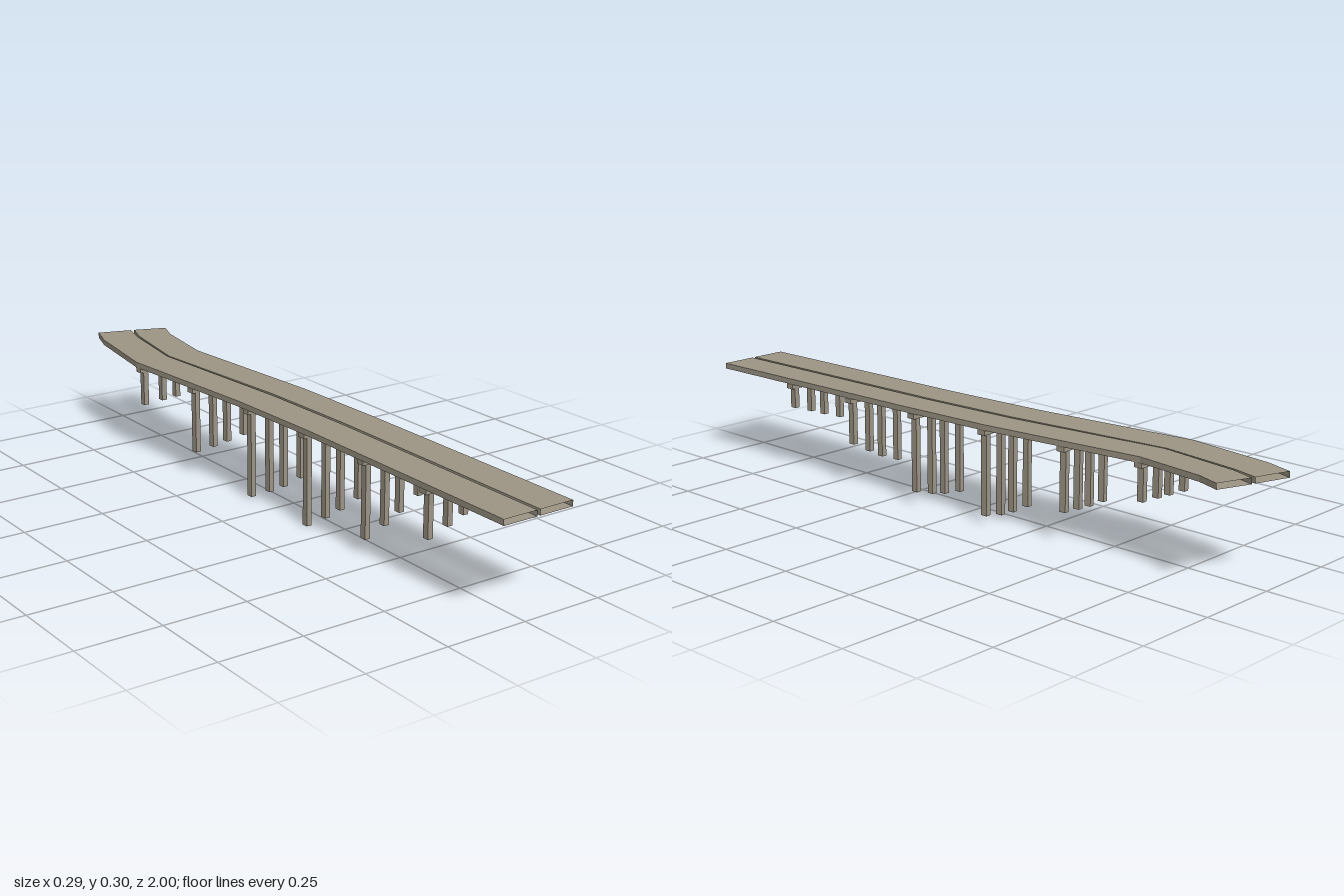
import * as THREE from 'three';

const concrete = new THREE.MeshStandardMaterial({ color: 0x9d9585, side: THREE.DoubleSide });
concrete.name = 'concrete';

const THICK = 0.017;
const deckTop = (z) => 0.2975 - 0.0045 * z;

// Cross-sections of each deck in plan: [left x, left z, right x, right z]
const LEFT_DECK = [
  [-0.085, 1, 0.024, 1], [-0.09, 0.2, 0.02, 0.2], [-0.103, -0.13, 0.009, -0.12],
  [-0.148, -0.64, -0.035, -0.64], [-0.108, -0.915, 0.001, -0.89], [-0.08, -1, 0.022, -0.966],
];
const RIGHT_DECK = [
  [0.034, 1, 0.143, 1], [0.03, 0.2, 0.134, 0.2], [0.018, -0.13, 0.124, -0.12],
  [-0.03, -0.64, 0.077, -0.64], [0.009, -0.89, 0.106, -0.855], [0.033, -0.963, 0.131, -0.926],
];

// Open-ended rectangular tube swept through the cross-sections
function makeDeck(name, sections) {
  const pos = [];
  const rings = sections.map(([lx, lz, rx, rz]) => {
    const lt = deckTop(lz), rt = deckTop(rz);
    return [[lx, lt, lz], [rx, rt, rz], [rx, rt - THICK, rz], [lx, lt - THICK, lz]];
  });
  for (let i = 0; i < rings.length - 1; i++) {
    for (let k = 0; k < 4; k++) {
      const n = (k + 1) % 4;
      const a = rings[i][k], b = rings[i][n], c = rings[i + 1][n], d = rings[i + 1][k];
      pos.push(...a, ...b, ...c, ...a, ...c, ...d);
    }
  }
  const geo = new THREE.BufferGeometry();
  geo.setAttribute('position', new THREE.Float32BufferAttribute(pos, 3));
  geo.computeVertexNormals();
  const mesh = new THREE.Mesh(geo, concrete);
  mesh.name = name;
  return mesh;
}

// Pier rows: position, turn, centre x under each deck, column foot heights from -x to +x
const ROWS = [
  { z: 0.69, turn: 0, x: [-0.031, 0.087], feet: [0.135, 0.157, 0.177, 0.2] },
  { z: 0.426, turn: 0, x: [-0.031, 0.085], feet: [0.047, 0.072, 0.099, 0.134] },
  { z: 0.16, turn: 0.01, x: [-0.035, 0.082], feet: [0, 0.009, 0.021, 0.041] },
  { z: -0.107, turn: 0.04, x: [-0.046, 0.071], feet: [0.009, 0.009, 0.013, 0.026] },
  { z: -0.375, turn: 0.088, x: [-0.071, 0.047], feet: [0.077, 0.08, 0.085, 0.092] },
  { z: -0.633, turn: 0, x: [-0.092, 0.023], feet: [0.161, 0.165, 0.168, 0.172] },
];

function box(name, w, h, d, x, y, z) {
  const mesh = new THREE.Mesh(new THREE.BoxGeometry(w, h, d), concrete);
  mesh.name = name;
  mesh.position.set(x, y, z);
  return mesh;
}

// One bent: a cap beam on two columns
function makePier(x, z, turn, feet) {
  const pier = new THREE.Group();
  pier.name = 'pier';
  const capTop = deckTop(z) - THICK - 0.0005;
  const capBottom = capTop - 0.0145;
  pier.add(box('capBeam', 0.107, 0.0145, 0.026, 0, (capTop + capBottom) / 2, 0));
  feet.forEach((foot, i) => {
    const h = capBottom - foot;
    pier.add(box('column', 0.0165, h, 0.02, i ? 0.0325 : -0.0325, foot + h / 2, 0));
  });
  pier.position.set(x, 0, z);
  pier.rotation.y = turn;
  return pier;
}

export function createModel() {
  const bridge = new THREE.Group();
  bridge.name = 'twinBridge';
  bridge.add(makeDeck('rightDeck', LEFT_DECK), makeDeck('leftDeck', RIGHT_DECK));
  for (const { z, turn, x, feet } of ROWS) {
    const mid = (x[0] + x[1]) / 2;
    x.forEach((cx, i) => {
      // Both bents of a row line up across the turned axis
      const pz = z - Math.tan(turn) * (cx - mid);
      bridge.add(makePier(cx, pz, turn, feet.slice(i * 2, i * 2 + 2)));
    });
  }
  return bridge;
}
